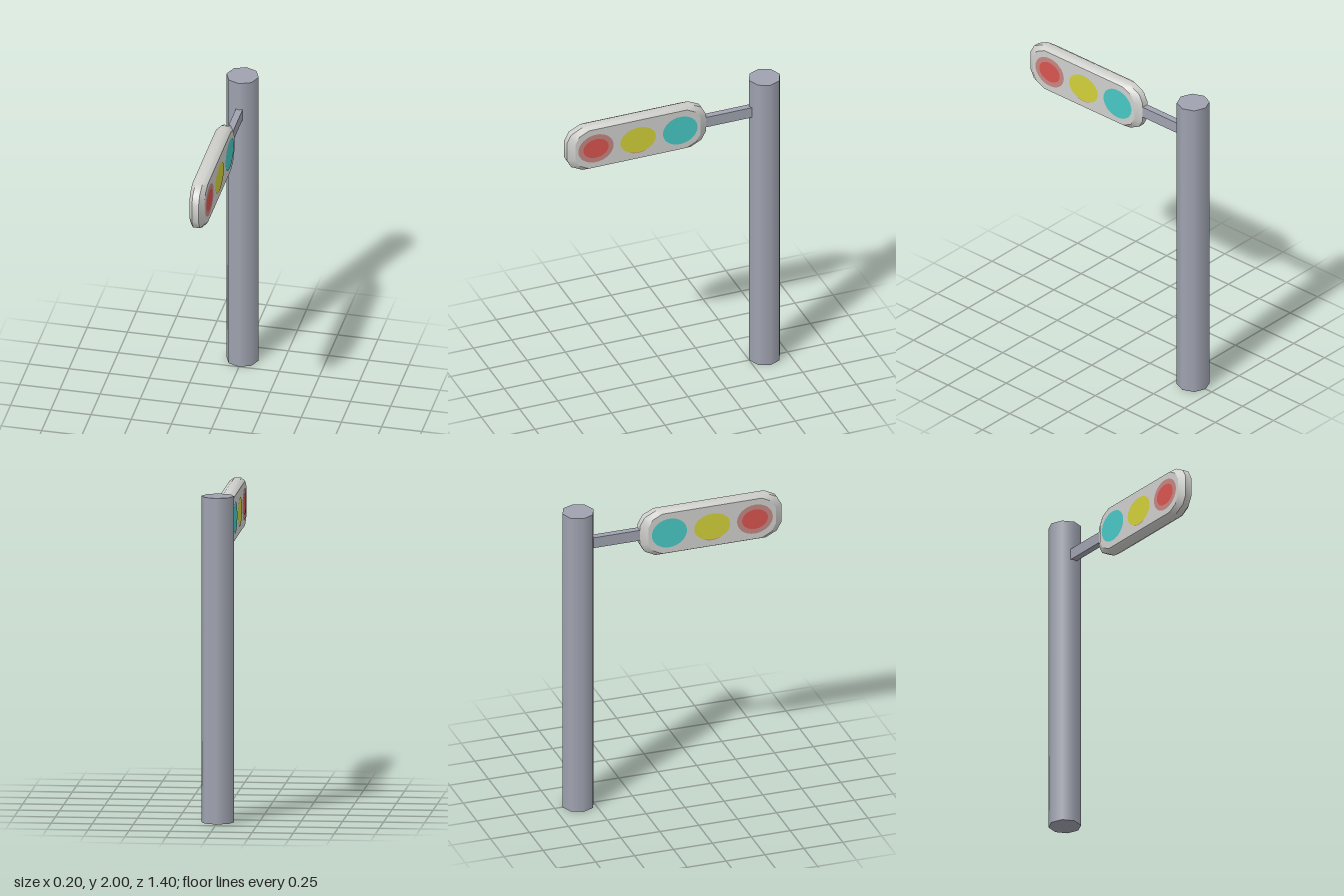
import * as THREE from 'three';
import { toCreasedNormals } from 'three/addons/utils/BufferGeometryUtils.js';

const material = (name, color) => {
  const m = new THREE.MeshStandardMaterial({ color });
  m.name = name;
  return m;
};

// Quarter of the lamp housing outline (z, y), mirrored into a full loop
const corner = [[0.455, 0.06], [0.425, 0.115], [0.355, 0.15]];
const back = [...corner].reverse();
const outline = [
  ...corner,
  ...back.map(([z, y]) => [-z, y]),
  ...corner.map(([z, y]) => [-z, -y]),
  ...back.map(([z, y]) => [z, -y]),
];

// Bevelled rim: the outline lofted across x, shrinking at both faces
function rimGeometry(sections) {
  const pos = [], index = [], n = outline.length;
  for (const [x, s] of sections) for (const [z, y] of outline) pos.push(x, y * s, z * s);
  for (let i = 0; i < sections.length - 1; i++) {
    for (let j = 0; j < n; j++) {
      const a = i * n + j, c = i * n + (j + 1) % n;
      index.push(a, a + n, c, c, a + n, c + n);
    }
  }
  const g = new THREE.BufferGeometry();
  g.setAttribute('position', new THREE.Float32BufferAttribute(pos, 3));
  g.setIndex(index);
  return toCreasedNormals(g, 0.75);
}

export function createModel() {
  const model = new THREE.Group();
  model.name = 'trafficLight';
  const grey = material('pole grey', 0x9fa3af);
  const shell = material('housing light grey', 0xcfd0cc);
  const red = material('lamp red', 0xd8544f);
  const paleRed = material('lamp pale red', 0xc58682);
  const yellow = material('lamp yellow', 0xd2d03a);
  const cyan = material('lamp turquoise', 0x48c8c4);

  const add = (parent, name, geometry, mat, x = 0, y = 0, z = 0) => {
    const mesh = new THREE.Mesh(geometry, mat);
    mesh.name = name;
    mesh.position.set(x, y, z);
    parent.add(mesh);
    return mesh;
  };

  // Pole and bracket
  add(model, 'pole', new THREE.CylinderGeometry(0.1, 0.1, 2, 8), grey, 0, 1, -0.6);
  add(model, 'bracket', new THREE.BoxGeometry(0.042, 0.07, 0.34), grey, 0, 1.78, -0.37);

  // Housing
  const housing = new THREE.Group();
  housing.name = 'housing';
  housing.position.set(0, 1.78, 0.245);
  model.add(housing);
  add(housing, 'housingRim', rimGeometry([[-0.047, 0.9], [-0.021, 1], [0.021, 1], [0.047, 0.9]]), shell);

  // Lamps: name, material, centre z, centre y, half width, half height, lift
  const lamps = [
    ['redLampRing', paleRed, 0.275, 0, 0.115, 0.098, 0.001],
    ['redLamp', red, 0.275, 0, 0.083, 0.066, 0.002],
    ['yellowLampEdge', paleRed, 0, -0.07, 0.06, 0.026, 0.001],
    ['yellowLamp', yellow, 0, -0.003, 0.116, 0.088, 0.002],
    ['turquoiseLamp', cyan, -0.275, 0, 0.113, 0.097, 0.002],
  ];
  const faceShape = new THREE.Shape(outline.map(([z, y]) => new THREE.Vector2(z * 0.9, y * 0.9)));

  // Both faces carry the same lamps
  for (const side of [1, -1]) {
    const turn = side * Math.PI / 2;
    add(housing, 'housingFace', new THREE.ShapeGeometry(faceShape), shell, side * 0.047).rotation.y = turn;
    for (const [name, mat, z, y, rz, ry, lift] of lamps) {
      const disc = add(housing, name, new THREE.CircleGeometry(1, 32), mat, side * (0.047 + lift), y, z);
      disc.rotation.y = turn;
      disc.scale.set(rz, ry, 1);
    }
  }
  return model;
}
